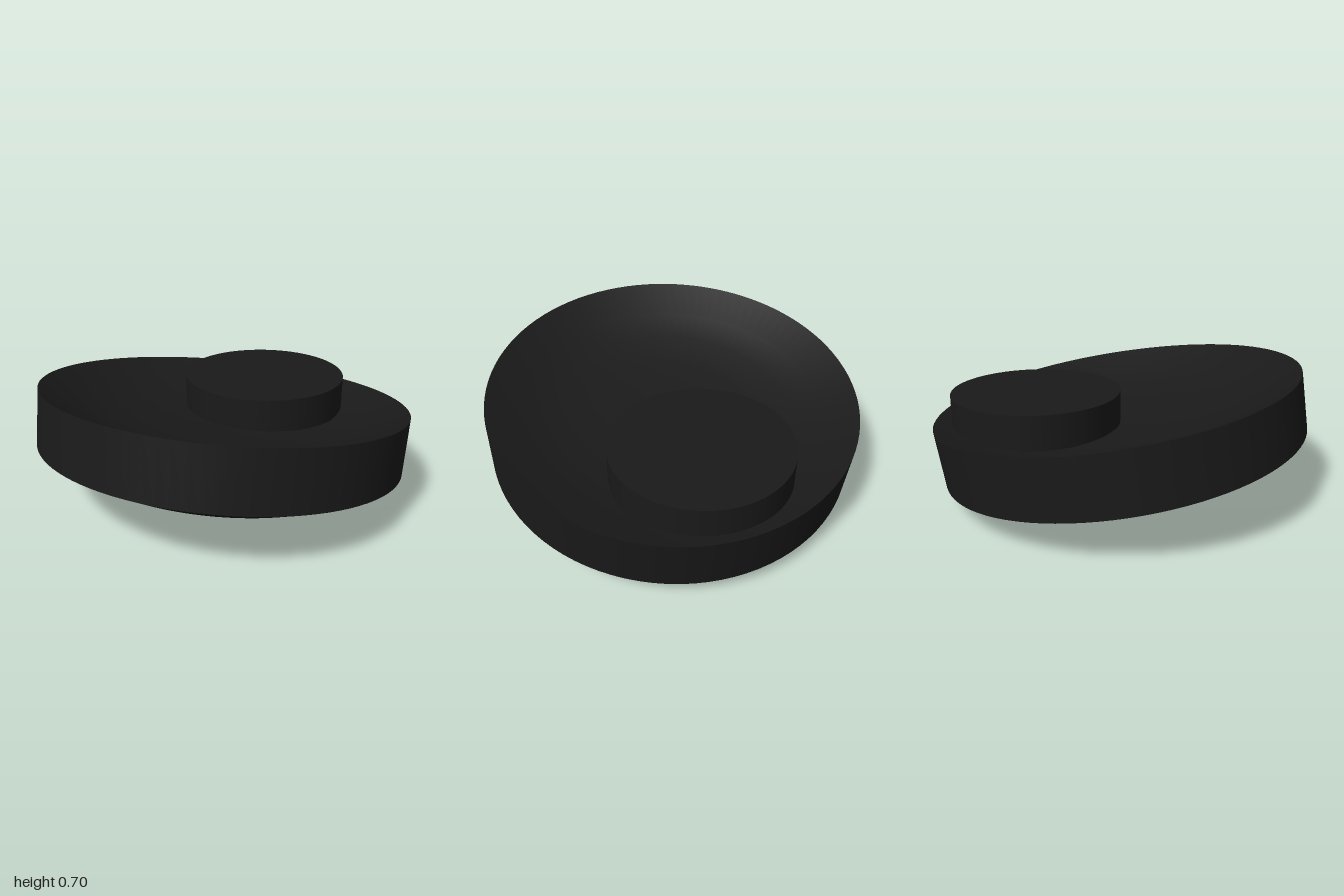
import * as THREE from 'three';

export function createModel() {
  const model = new THREE.Group();
  const black = new THREE.MeshStandardMaterial({ color: 0x1a1a1a });
  const radius = 0.987, wall = 0.304, segments = 96;

  // Shallow bowl curve from the centre to the rim: [radius, height]
  const bowl = [[0, -0.2], [0.24, -0.19], [0.42, -0.177], [0.62, -0.147], [0.8, -0.089], [radius, 0]];

  const lathe = (name, points, parent) => {
    const profile = points.map(([r, y]) => new THREE.Vector2(r, y));
    const mesh = new THREE.Mesh(new THREE.LatheGeometry(profile, segments), black);
    mesh.name = name;
    parent.add(mesh);
  };

  // Tilted dish: separate surfaces keep the rim edges sharp
  const dish = new THREE.Group();
  dish.name = 'dish';
  lathe('domedUnderside', bowl, dish);
  lathe('sideWall', [[radius, 0], [radius, wall]], dish);
  lathe('hollowTop', bowl.map(([r, y]) => [r, y + wall]).reverse(), dish);
  dish.position.set(0, 0.25, 0.025);
  dish.rotation.x = -Math.atan2(0.31, 1.95);
  model.add(dish);

  // Level round pad resting in the hollow, towards the back
  const top = 0.53, bottom = 0.33;
  const pad = new THREE.Mesh(new THREE.CylinderGeometry(0.465, 0.465, top - bottom, segments), black);
  pad.name = 'roundPad';
  pad.position.set(0, (top + bottom) / 2, -0.465);
  model.add(pad);

  return model;
}
